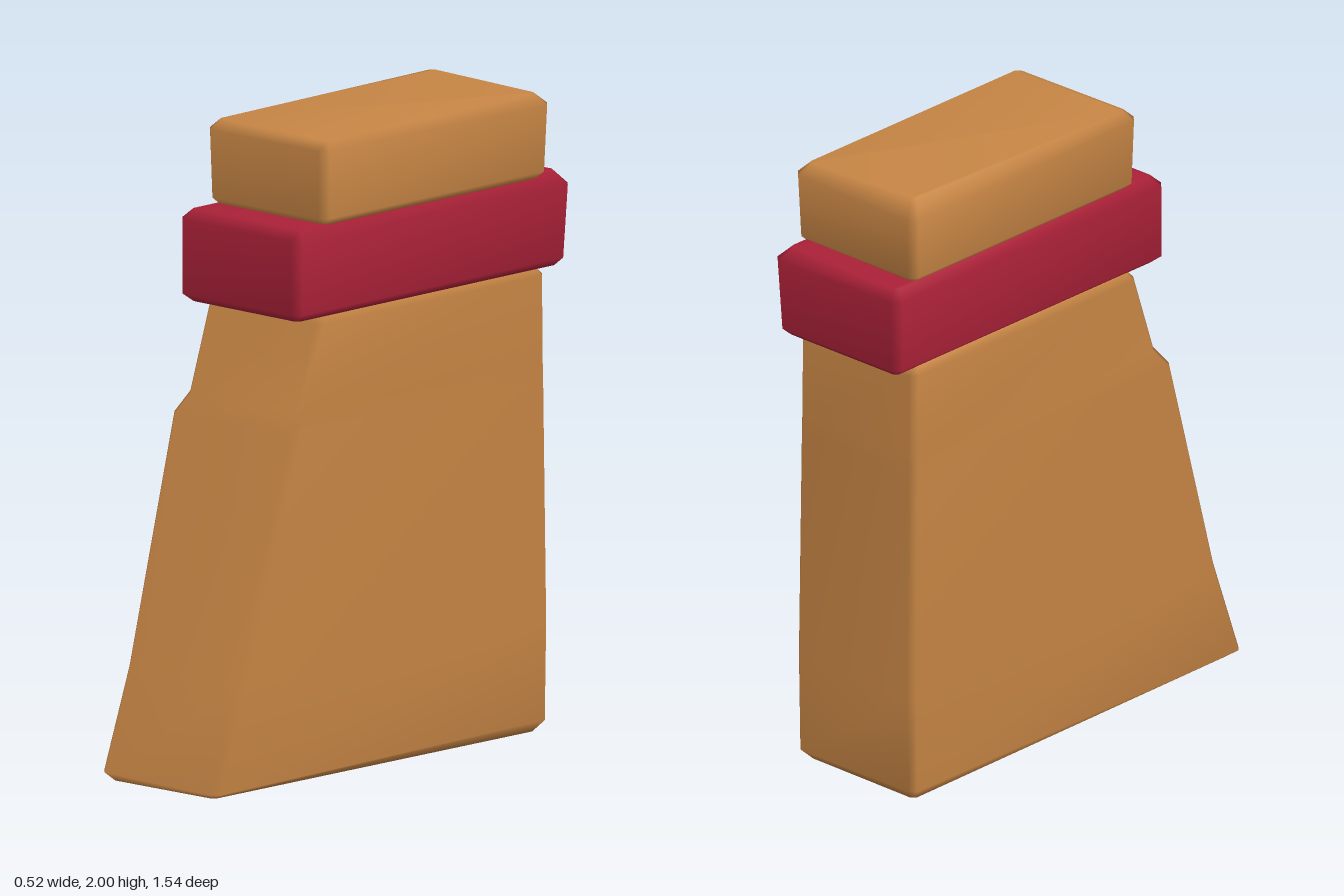
import * as THREE from 'three';

// Lofts a stone from rings of four corners, ordered front right, front left,
// back left, back right. Each ring is [cornerCut, ...corners]; ends are capped.
function createStone(name, material, rings) {
  const positions = [];
  const indices = [];
  for (const [cut, ...corners] of rings) {
    const points = corners.map((c) => new THREE.Vector3(...c));
    points.forEach((p, i) => {
      // Cut every vertical corner with two points
      for (const step of [3, 1]) {
        const toward = points[(i + step) % 4].clone().sub(p).setLength(cut);
        positions.push(...p.clone().add(toward).toArray());
      }
    });
  }
  for (let r = 0; r < rings.length - 1; r++) {
    for (let i = 0; i < 8; i++) {
      const a = r * 8 + i;
      const b = r * 8 + (i + 1) % 8;
      indices.push(a, b, b + 8, a, b + 8, a + 8);
    }
  }
  const top = (rings.length - 1) * 8;
  for (let i = 1; i < 7; i++) {
    indices.push(0, i + 1, i, top, top + i, top + i + 1);
  }
  const geometry = new THREE.BufferGeometry();
  geometry.setAttribute('position', new THREE.Float32BufferAttribute(positions, 3));
  geometry.setIndex(indices);
  geometry.computeVertexNormals();
  const mesh = new THREE.Mesh(geometry, material);
  mesh.name = name;
  return mesh;
}

export function createModel() {
  const sandstone = new THREE.MeshStandardMaterial({ name: 'sandstone', color: 0xc88645 });
  const redStone = new THREE.MeshStandardMaterial({ name: 'red stone', color: 0xab2138 });

  const model = new THREE.Group();
  model.name = 'buttress';

  // Sloping body with a chipped ledge on its front right edge
  model.add(createStone('body', sandstone, [
    [0.012, [-0.215, 0.015, 0.75], [0.21, 0.02, 0.75], [0.21, 0.01, -0.655], [-0.21, 0, -0.645]],
    [0.02, [-0.25, 0.04, 0.77], [0.235, 0.035, 0.77], [0.237, 0.045, -0.69], [-0.25, 0.045, -0.69]],
    [0.02, [-0.242, 0.35, 0.667], [0.241, 0.35, 0.667], [0.241, 0.35, -0.692], [-0.243, 0.35, -0.69]],
    [0.02, [-0.265, 1.1, 0.447], [0.236, 1.1, 0.417], [0.236, 1.1, -0.684], [-0.245, 1.1, -0.684]],
    [0.02, [-0.243, 1.16, 0.4], [0.235, 1.16, 0.397], [0.235, 1.16, -0.683], [-0.243, 1.16, -0.683]],
    [0.02, [-0.243, 1.425, 0.312], [0.235, 1.425, 0.312], [0.235, 1.425, -0.68], [-0.243, 1.425, -0.68]],
    [0.012, [-0.225, 1.45, 0.29], [0.215, 1.45, 0.29], [0.215, 1.45, -0.66], [-0.225, 1.45, -0.66]],
  ]));

  // Overhanging red band
  model.add(createStone('band', redStone, [
    [0.012, [-0.222, 1.445, 0.4], [0.225, 1.445, 0.4], [0.225, 1.445, -0.735], [-0.222, 1.445, -0.735]],
    [0.025, [-0.253, 1.47, 0.43], [0.252, 1.47, 0.43], [0.25, 1.47, -0.762], [-0.253, 1.47, -0.762]],
    [0.025, [-0.253, 1.7, 0.43], [0.252, 1.7, 0.43], [0.26, 1.695, -0.772], [-0.253, 1.7, -0.765]],
    [0.012, [-0.222, 1.73, 0.4], [0.225, 1.73, 0.4], [0.215, 1.74, -0.735], [-0.222, 1.73, -0.735]],
  ]));

  // Top block
  model.add(createStone('topBlock', sandstone, [
    [0.012, [-0.215, 1.725, 0.285], [0.225, 1.725, 0.285], [0.225, 1.725, -0.65], [-0.215, 1.725, -0.65]],
    [0.025, [-0.242, 1.75, 0.31], [0.25, 1.75, 0.31], [0.25, 1.75, -0.678], [-0.242, 1.75, -0.68]],
    [0.025, [-0.252, 1.96, 0.31], [0.25, 1.96, 0.31], [0.252, 1.955, -0.69], [-0.257, 1.95, -0.698]],
    [0.012, [-0.222, 1.99, 0.28], [0.225, 1.985, 0.28], [0.22, 1.99, -0.65], [-0.21, 2, -0.645]],
  ]));

  return model;
}
